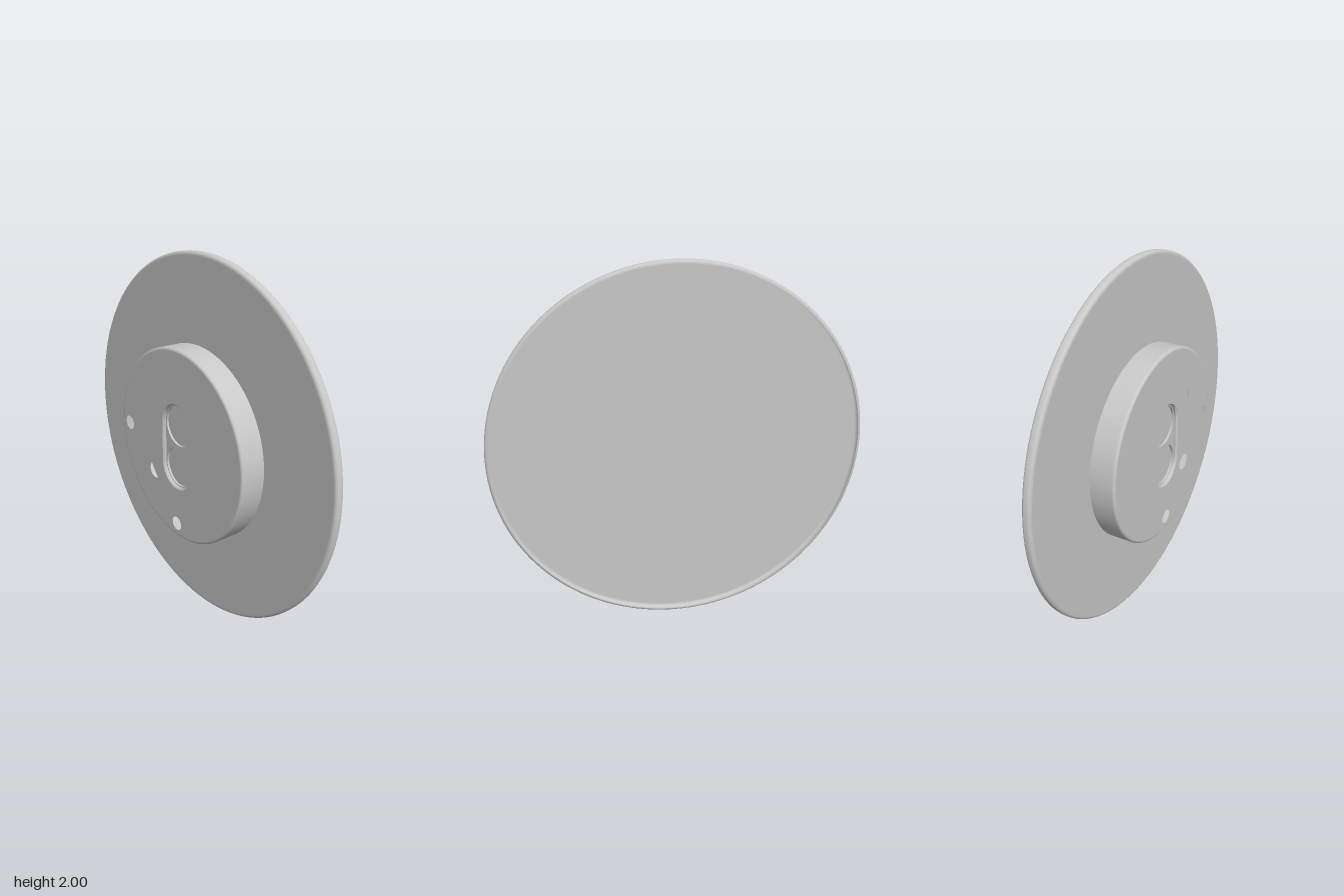
import * as THREE from 'three';

const BACK = -0.093, STEP = -0.045, FRONT = 0.093;
const HUB_R = 0.537, HUB_FILLET = 0.014;

const metal = new THREE.MeshStandardMaterial({ color: 0xc8c8c8, side: THREE.DoubleSide });
metal.name = 'grey metal';

function add(group, name, geometry) {
  const mesh = new THREE.Mesh(geometry, metal);
  mesh.name = name;
  group.add(mesh);
}

// Quarter-round profile points about (cx, cy), starting at angle a0
function arc(cx, cy, r, a0) {
  const pts = [];
  for (let i = 0; i <= 6; i++) {
    const a = a0 + (i / 6) * Math.PI / 2;
    pts.push(new THREE.Vector2(cx + r * Math.cos(a), cy + r * Math.sin(a)));
  }
  return pts;
}

// Turned part with its axis along z
const turned = (pts) => new THREE.LatheGeometry(pts, 128).rotateX(Math.PI / 2);

// Slot outline: two half circles joined by straight sides (half = 0 gives a circle)
function outline(x, y, r, half = 0, n = 24) {
  const pts = [];
  for (let side = 0; side < 2; side++) {
    for (let i = 0; i < n + (half ? 1 : 0); i++) {
      const a = side * Math.PI + (i / n) * Math.PI;
      pts.push(new THREE.Vector2(x + r * Math.cos(a), y + (side ? -half : half) + r * Math.sin(a)));
    }
  }
  return pts;
}

// Flat face at depth z with holes cut out
function face(pts, holes, z) {
  const shape = new THREE.Shape(pts);
  shape.holes = holes.map((h) => new THREE.Path(h));
  return new THREE.ShapeGeometry(shape).translate(0, 0, z);
}

// Inward-facing wall joining an outline at zA to a matching one at zB
function wall(a, zA, b, zB) {
  const pos = [], index = [], n = a.length;
  for (let i = 0; i < n; i++) {
    pos.push(a[i].x, a[i].y, zA, b[i].x, b[i].y, zB);
    const p = 2 * i, q = 2 * ((i + 1) % n);
    index.push(p, q, p + 1, q, q + 1, p + 1);
  }
  const g = new THREE.BufferGeometry();
  g.setAttribute('position', new THREE.Float32BufferAttribute(pos, 3));
  g.setIndex(index);
  g.computeVertexNormals();
  return g;
}

export function createModel() {
  const model = new THREE.Group();
  model.name = 'flangedDisc';
  const V = (x, y) => new THREE.Vector2(x, y);

  // Large shallow pan: rounded rim, open at the back
  const f = 0.018;
  add(model, 'plate', turned([
    ...arc(1 - f, BACK + f, f, -Math.PI / 2),
    ...arc(1 - f, STEP - f, f, 0),
    V(0.975, STEP), V(0, STEP),
  ]));

  // Hollow hub: side with a rounded front edge
  add(model, 'hubSide', turned([
    V(HUB_R, STEP), V(HUB_R, FRONT - HUB_FILLET - 0.004),
    ...arc(HUB_R - HUB_FILLET, FRONT - HUB_FILLET, HUB_FILLET, 0),
  ]));

  // Round holes open into the hub: an outer ring of four and an inner square of four
  const holes = [];
  for (let i = 0; i < 4; i++) {
    const a = i * Math.PI / 2, b = a + Math.PI / 4;
    holes.push(outline(0.46 * Math.cos(a), 0.46 * Math.sin(a), 0.04));
    holes.push(outline(0.295 * Math.cos(b), 0.295 * Math.sin(b), 0.046));
  }

  // Central slot with a chamfered rim
  const rim = outline(0, 0, 0.128, 0.115);
  const slot = outline(0, 0, 0.119, 0.115);
  const chamferZ = FRONT - 0.008, slotZ = FRONT - 0.018;
  add(model, 'slotRim', wall(rim, FRONT, slot, chamferZ));
  add(model, 'slotWall', wall(slot, chamferZ, slot, slotZ));

  // Two round openings with short collars in the slot floor
  const openings = [0.117, -0.117].map((y) => outline(0, y, 0.111));
  add(model, 'slotFloor', face(slot, openings, slotZ));
  for (const p of openings) add(model, 'openingCollar', wall(p, slotZ, p, slotZ - 0.012));

  // Hub front face
  const disc = outline(0, 0, HUB_R - HUB_FILLET, 0, 64);
  add(model, 'hubFace', face(disc, [rim, ...holes], FRONT));

  model.position.y = 1;
  return model;
}
